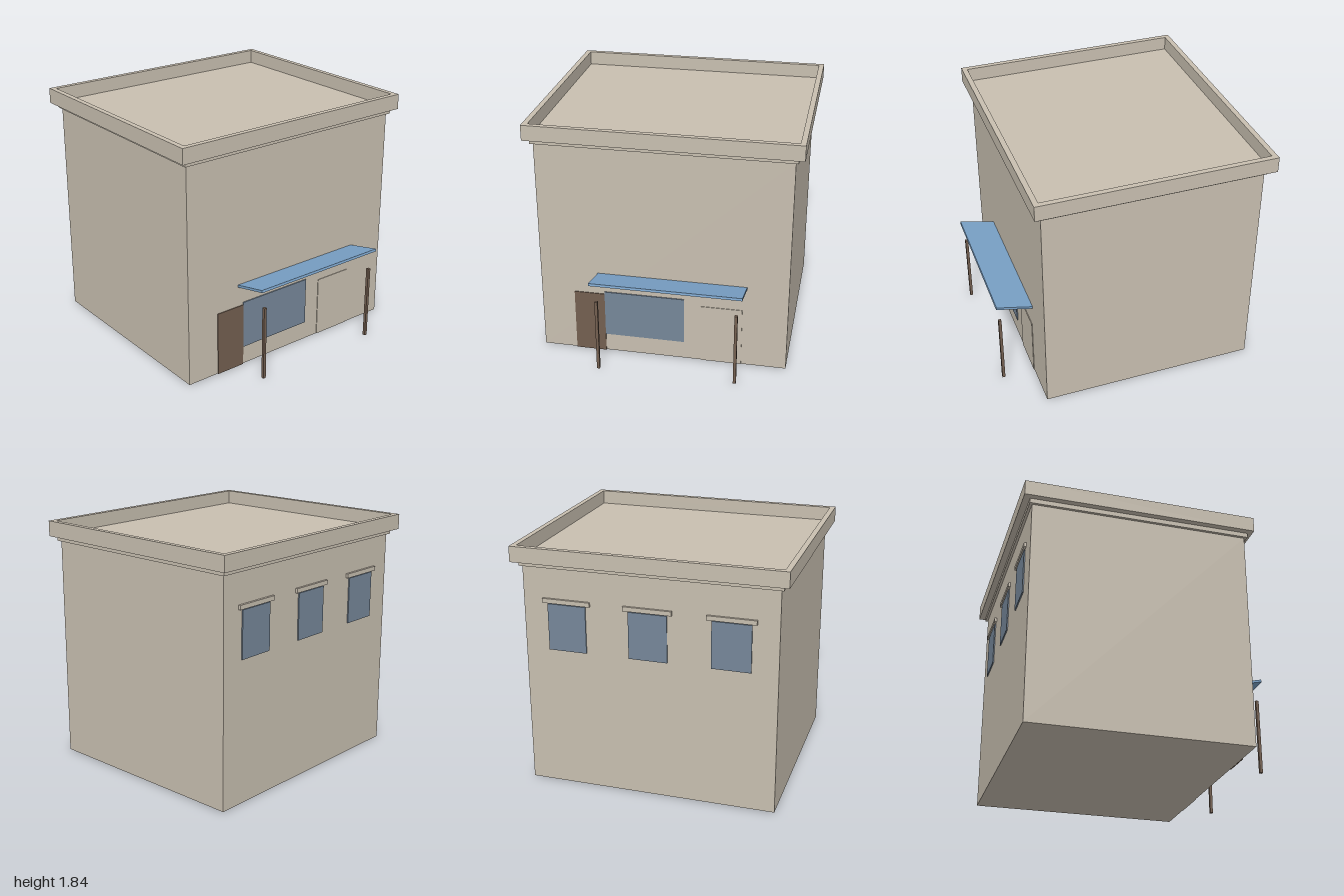
import * as THREE from 'three';

const mat = (name, color) => {
  const m = new THREE.MeshStandardMaterial({ color });
  m.name = name;
  return m;
};

export function createModel() {
  const group = new THREE.Group();
  const stone = mat('warm stone', 0xc8bfb0);
  const glass = mat('grey blue glass', 0x768799);
  const canvas = mat('awning blue', 0x7ba3c9);
  const wood = mat('brown wood', 0x735f50);

  // Box given by its extents on each axis
  const box = (name, material, [x0, x1], [y0, y1], [z0, z1]) => {
    const mesh = new THREE.Mesh(new THREE.BoxGeometry(x1 - x0, y1 - y0, z1 - z0), material);
    mesh.position.set((x0 + x1) / 2, (y0 + y1) / 2, (z0 + z1) / 2);
    mesh.name = name;
    group.add(mesh);
    return mesh;
  };

  // Main block and the stepped moulding under the parapet
  box('walls', stone, [-0.935, 0.935], [0.005, 1.69], [-0.922, 0.715]);
  box('moulding', stone, [-0.955, 0.955], [1.688, 1.726], [-0.942, 0.735]);
  box('roof', stone, [-0.98, 0.98], [1.724, 1.735], [-0.97, 0.755]);

  // Parapet: a rectangular ring around the flat roof
  const rect = (target, x, zBack, zFront) => {
    target.moveTo(-x, -zFront);
    target.lineTo(x, -zFront);
    target.lineTo(x, -zBack);
    target.lineTo(-x, -zBack);
    target.closePath();
    return target;
  };
  const ring = rect(new THREE.Shape(), 1, -0.99, 0.773);
  ring.holes.push(rect(new THREE.Path(), 0.96, -0.95, 0.733));
  const ringGeometry = new THREE.ExtrudeGeometry(ring, { depth: 0.116, bevelEnabled: false });
  ringGeometry.rotateX(-Math.PI / 2);
  const parapet = new THREE.Mesh(ringGeometry, stone);
  parapet.position.y = 1.724;
  parapet.name = 'parapet';
  group.add(parapet);

  // Shop front
  box('door', wood, [-0.68, -0.447], [0.003, 0.5], [0.714, 0.721]);
  box('shopWindow', glass, [-0.447, 0.16], [0.15, 0.52], [0.714, 0.723]);
  box('sidePanel', stone, [0.29, 0.597], [0.005, 0.475], [0.714, 0.72]);

  // Awning sloping up and away from the wall
  const awning = new THREE.Mesh(new THREE.BoxGeometry(1.122, 0.019, 0.29), canvas);
  awning.position.set(0.067, 0.696, 0.846);
  awning.rotation.x = -0.236;
  awning.name = 'awning';
  group.add(awning);

  // Two free-standing posts
  for (const x of [-0.446, 0.584]) {
    box('post', wood, [x - 0.011, x + 0.011], [0, 0.576], [0.948, 0.97]);
  }

  // Back windows with lintels
  for (const x of [0.61, 0.005, -0.6]) {
    box('backWindow', glass, [x - 0.143, x + 0.143], [1.07, 1.42], [-0.931, -0.921]);
    box('lintel', stone, [x - 0.178, x + 0.178], [1.427, 1.46], [-0.94, -0.921]);
  }

  return group;
}
